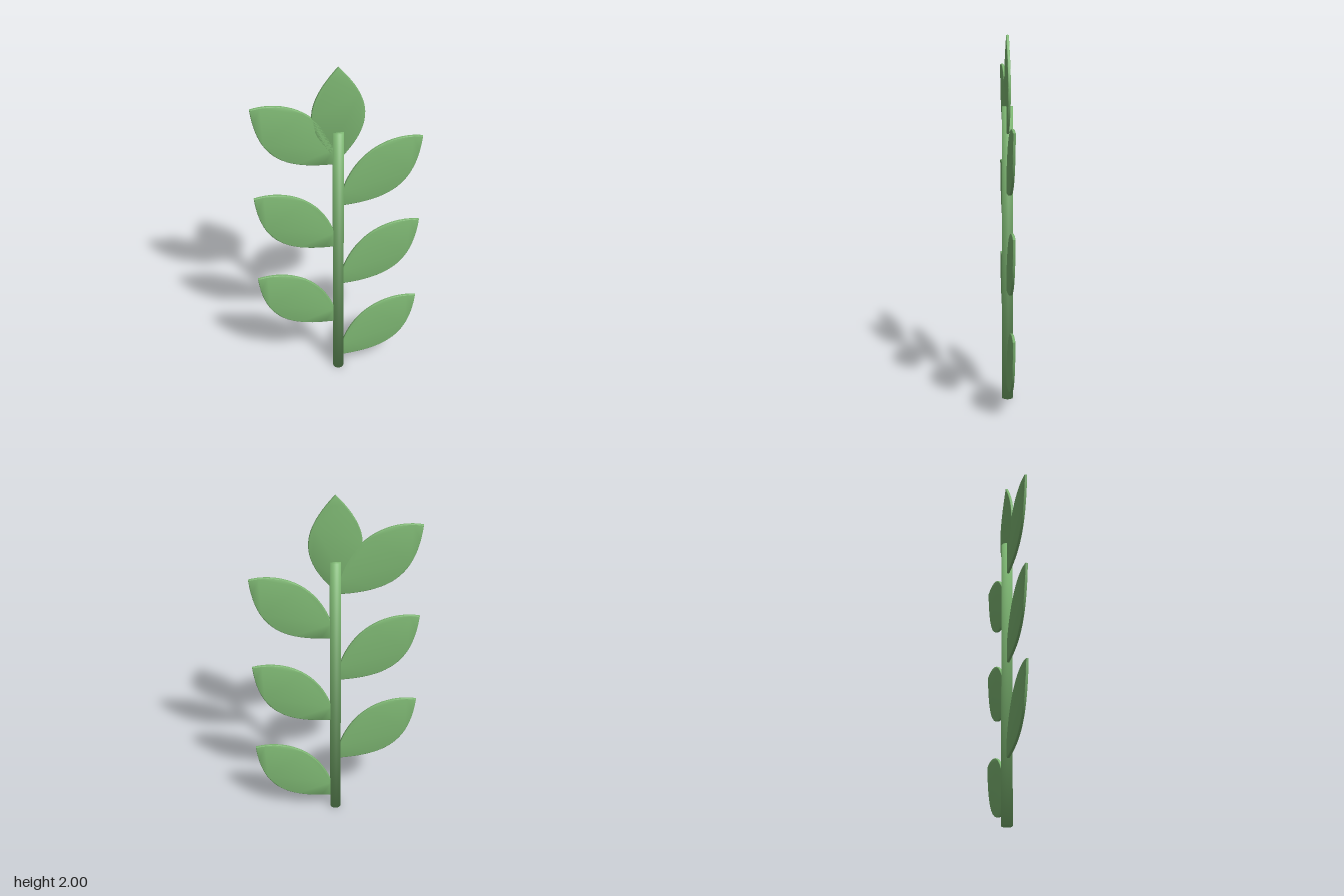
import * as THREE from 'three';
import { toCreasedNormals } from 'three/addons/utils/BufferGeometryUtils.js';

const green = new THREE.MeshStandardMaterial({ name: 'leaf green', color: 0x7db672 });

// Thin leaf plate with rounded edges, centred on z = 0
function leafGeometry(shape) {
  const geo = new THREE.ExtrudeGeometry(shape, {
    depth: 0.007, curveSegments: 20,
    bevelThickness: 0.004, bevelSize: 0.004, bevelOffset: -0.004, bevelSegments: 3,
  });
  geo.translate(0, 0, -0.0035);
  return toCreasedNormals(geo, Math.PI / 4);
}

// Round stem whose normals blend softly into both ends
function stemGeometry(radius, height) {
  const geo = new THREE.CylinderGeometry(radius, radius, height, 32);
  const pos = geo.attributes.position;
  const n = new THREE.Vector3();
  for (let i = 0; i < pos.count; i++) {
    n.set(pos.getX(i) / radius, Math.sign(pos.getY(i)), pos.getZ(i) / radius).normalize();
    geo.attributes.normal.setXYZ(i, n.x, n.y, n.z);
  }
  return geo.translate(0, height / 2, 0);
}

export function createModel() {
  const model = new THREE.Group();
  model.name = 'sprig';
  const add = (name, geo) => {
    const mesh = new THREE.Mesh(geo, green);
    mesh.name = name;
    model.add(mesh);
    return mesh;
  };

  add('stem', stemGeometry(0.03, 1.625));

  // Side leaves alternate left and right up the stem
  const side = new THREE.Shape();
  side.moveTo(0, 0);
  side.bezierCurveTo(0.28, 0, 0.42, 0.08, 0.45, 0.38);
  side.bezierCurveTo(0.28, 0.42, 0.05, 0.33, 0, 0);
  const sideGeo = leafGeometry(side);
  for (let i = 0; i < 6; i++) {
    const isLeft = i % 2 === 0;
    const leaf = add(isLeft ? 'leftLeaf' : 'rightLeaf', sideGeo);
    leaf.position.y = 0.082 + i * 0.27;
    if (!isLeft) leaf.rotation.y = Math.PI;
  }

  // Upright leaf at the tip
  const top = new THREE.Shape();
  top.moveTo(0, 1.45);
  top.bezierCurveTo(0.2, 1.66, 0.17, 1.81, 0, 2);
  top.bezierCurveTo(-0.17, 1.81, -0.2, 1.66, 0, 1.45);
  add('topLeaf', leafGeometry(top));

  return model;
}
